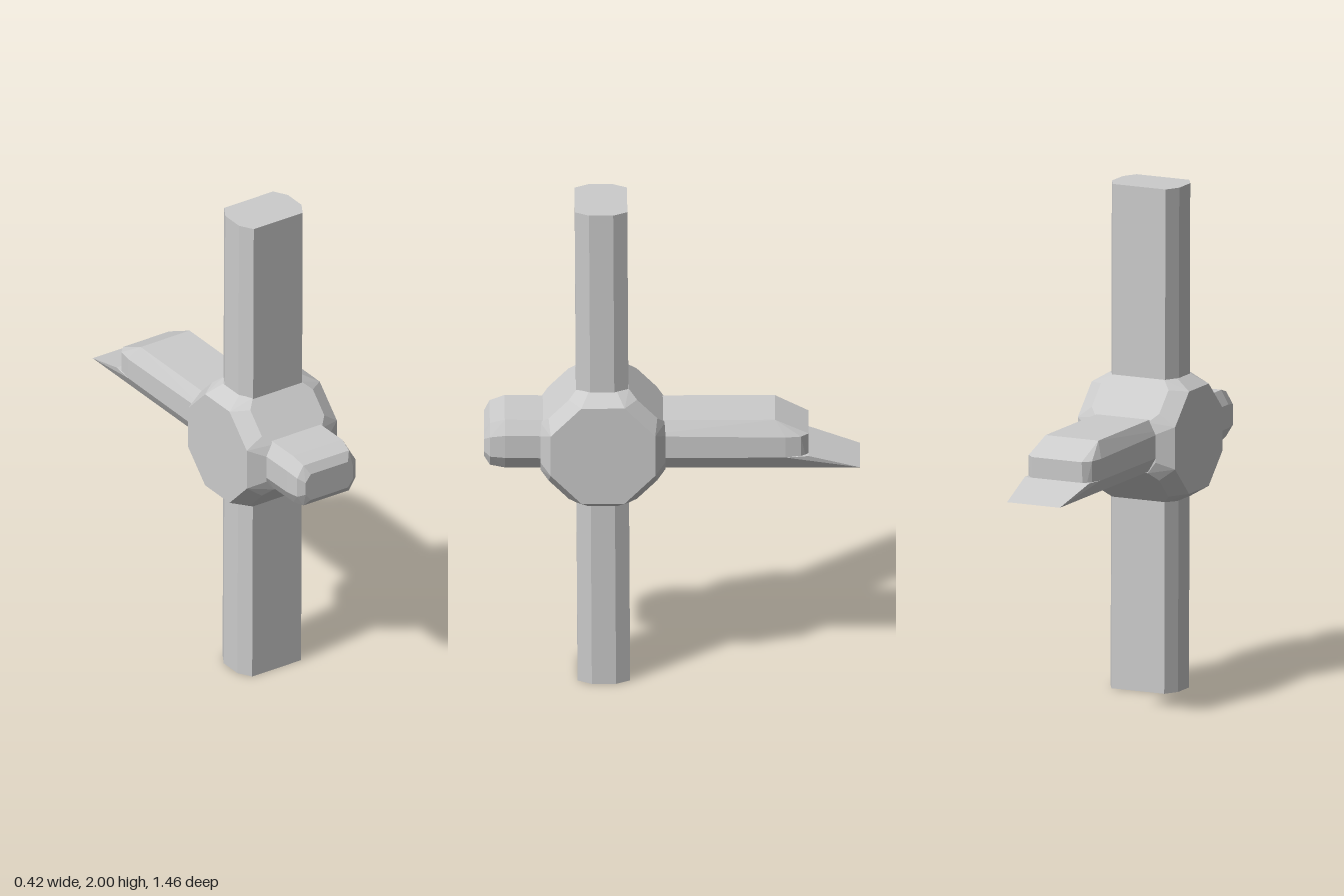
import * as THREE from 'three';
import { ConvexGeometry } from 'three/addons/geometries/ConvexGeometry.js';

const V = (x, y, z) => new THREE.Vector3(x, y, z);

// Flat-faced octagonal bar section: [across, depth]
function section(w = 1, d = 1) {
  const pts = [];
  for (const a of [-1, 1]) for (const b of [-1, 1]) {
    pts.push([a * 0.115 * w, b * 0.102 * d], [a * 0.147 * w, b * 0.047 * d]);
  }
  return pts;
}

// Mirror [x, y, z] points across the middle plane
const mirrored = (pts) => pts.flatMap(([x, y, z]) => [V(x, y, z), V(-x, y, z)]);

export function createModel() {
  const group = new THREE.Group();
  const material = new THREE.MeshStandardMaterial({ color: 0xcccccc, flatShading: true });
  const addHull = (name, points) => {
    const mesh = new THREE.Mesh(new ConvexGeometry(points), material);
    mesh.name = name;
    group.add(mesh);
  };

  // Octagonal hub: bevelled rims with every rim corner clipped
  const hub = [];
  const apothem = 0.243, faceApothem = 0.203;
  const half = apothem * Math.tan(Math.PI / 8);
  const faceHalf = faceApothem * Math.tan(Math.PI / 8);
  for (let i = 0; i < 8; i++) {
    const c = Math.cos(i * Math.PI / 4), s = Math.sin(i * Math.PI / 4);
    const put = (x, r, t) => hub.push([x, 1.002 + r * s + t * c, 0.269 + r * c - t * s]);
    for (const side of [-1, 1]) {
      put(0.113, apothem, side * half);
      put(0.147, apothem, side * (half - 0.045));
      put(0.212, faceApothem, side * faceHalf);
    }
  }
  addHull('hub', mirrored(hub));

  // Upright post through the hub, leaning very slightly forward
  addHull('post', [[0, 0.265], [2, 0.276]].flatMap(([y, zc]) =>
    section().map(([x, d]) => V(x, y, zc + d))));

  // Blunt rounded-off nose at the front
  const noseSteps = [[0.4, 1, 1, 1.01], [0.65, 1, 1, 1.013], [0.708, 0.93, 0.87, 1.008], [0.73, 0.76, 0.56, 1.005]];
  addHull('nose', noseSteps.flatMap(([z, w, d, y]) =>
    section(w, d).map(([x, h]) => V(x, y + h, z))));

  // Rear arm with a chamfered end
  addHull('rearArm', [
    ...section().map(([x, h]) => V(x, 1.01 + h, 0.15)),
    ...mirrored([
      [0.115, 1.112, -0.4], [0.147, 1.05, -0.44], [0.147, 0.965, -0.44], [0.115, 0.908, -0.53],
      [0.138, 1.05, -0.5], [0.138, 0.965, -0.5], [0.108, 1.05, -0.53], [0.108, 0.965, -0.53],
    ]),
  ]);

  // Thin wedge blade continuing the underside of the arm
  addHull('bladeTip', mirrored([
    [0.115, 0.908, 0.1], [0.115, 0.908, -0.73], [0.147, 0.965, 0.1], [0.147, 0.965, -0.44],
    [0.14, 0.968, -0.53],
  ]));

  return group;
}
